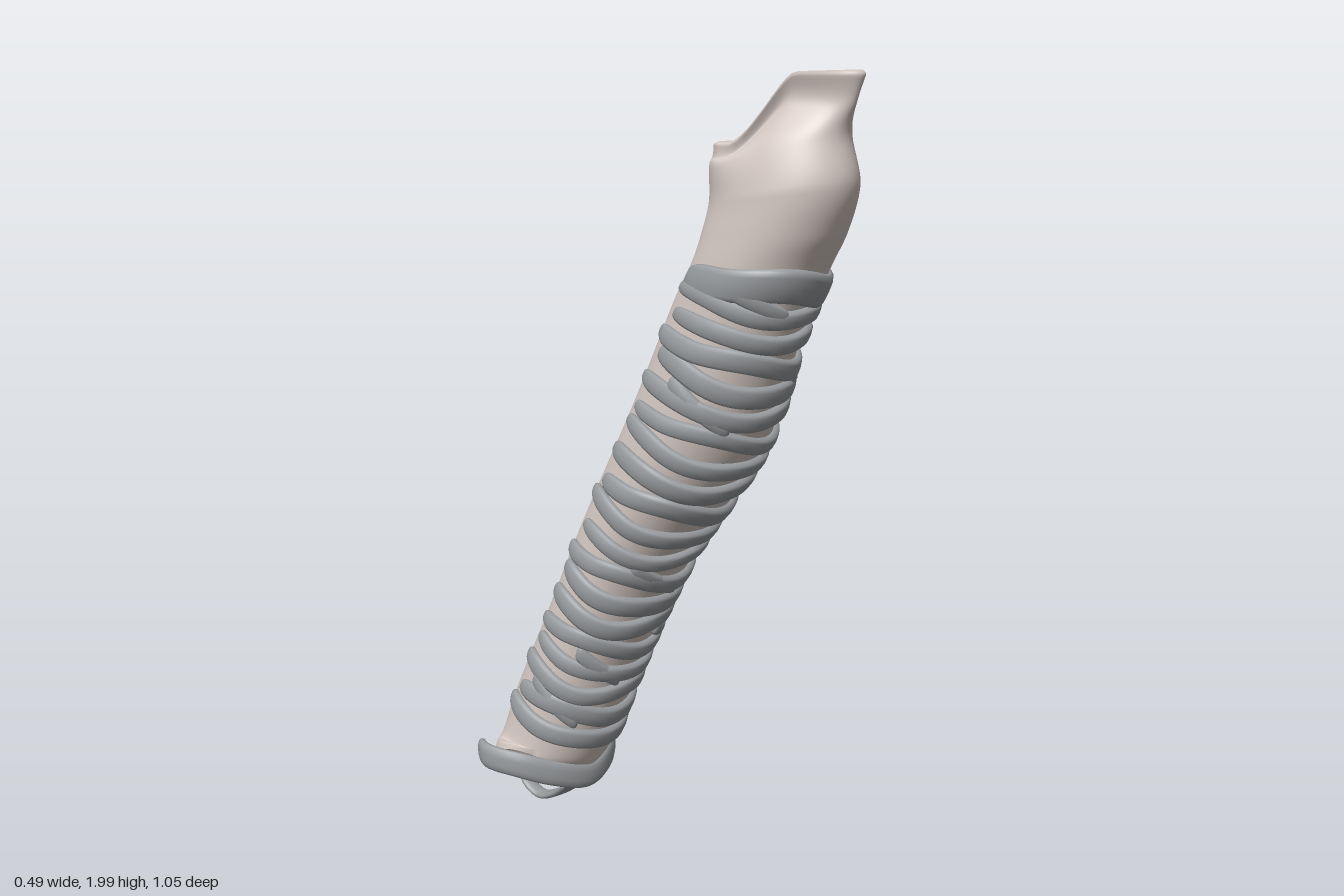
import * as THREE from 'three';

// Cross-sections from rim to lower end: front z, y, back z, y, centre x, half width, front pinch
const SECTIONS = [
  [0.53, 1.995, 0.145, 1.83, 0.038, 0.13, 0.52],
  [0.505, 1.925, 0.145, 1.8, 0.038, 0.132, 0.62],
  [0.482, 1.85, 0.14, 1.77, 0.038, 0.142, 0.22],
  [0.5, 1.74, 0.138, 1.69, 0.038, 0.14, 0],
  [0.465, 1.63, 0.12, 1.62, 0.04, 0.148, 0],
  [0.41, 1.53, 0.095, 1.55, 0.04, 0.153, 0],
  [0.335, 1.36, 0.04, 1.45, 0.035, 0.15, 0],
  [0.215, 1.07, -0.08, 1.197, 0.046, 0.175, 0],
  [0, 0.76, -0.235, 0.88, 0.03, 0.168, 0],
  [-0.13, 0.49, -0.358, 0.6, 0.005, 0.155, 0],
  [-0.24, 0.2, -0.49, 0.29, -0.02, 0.152, 0],
  [-0.29, 0.1, -0.52, 0.05, -0.03, 0.17, 0],
];
const LAST = SECTIONS.length - 1;
const spline = (f) => new THREE.CatmullRomCurve3(SECTIONS.map((s) => new THREE.Vector3(...f(s))), false, 'catmullrom', 0.5);
const frontLine = spline((s) => [0, s[1], s[0]]);
const backLine = spline((s) => [0, s[3], s[2]]);
const shapeLine = spline((s) => [s[4], s[5], s[6]]);
const smooth = THREE.MathUtils.smoothstep;

// Point on the tube wall; s runs down the sections, angle 0 is the front
function wall(s, angle, scale = 1) {
  const t = THREE.MathUtils.clamp(s / LAST, 0, 1);
  const front = frontLine.getPoint(t), back = backLine.getPoint(t), shape = shapeLine.getPoint(t);
  let c = Math.cos(angle);
  if (c < 0) c *= 1.4 - 0.4 * c * c; // flattened back
  const u = (1 + c * scale) / 2;
  const pinch = Math.max(0, shape.z);
  const lift = THREE.MathUtils.lerp(u, smooth(u, 0.2, 0.62), Math.min(1, pinch * 1.8));
  const x = shape.x + shape.y * scale * Math.sin(angle) * (1 - pinch * smooth(u, 0.1, 0.55));
  const notch = 0.14 * Math.abs(Math.sin(angle)) * smooth(s, LAST - 1, LAST);
  return new THREE.Vector3(x, THREE.MathUtils.lerp(back.y, front.y, lift) + notch, THREE.MathUtils.lerp(back.z, front.z, u));
}

// Smooth surface from rows of closed loops
function loft(rows, cols, point) {
  const pos = [], index = [];
  for (let i = 0; i <= rows; i++) {
    for (let j = 0; j < cols; j++) {
      const p = point(i / rows, (j / cols) * Math.PI * 2);
      pos.push(p.x, p.y, p.z);
      if (i === rows) continue;
      const a = i * cols + j, b = i * cols + ((j + 1) % cols);
      index.push(a, a + cols, b, b, a + cols, b + cols);
    }
  }
  const g = new THREE.BufferGeometry();
  g.setAttribute('position', new THREE.Float32BufferAttribute(pos, 3));
  g.setIndex(index);
  g.computeVertexNormals();
  return g;
}

const roundEnds = (t) => Math.sqrt(Math.max(0, 1 - Math.pow(Math.abs(2 * t - 1), 12)));
const boxy = (v) => Math.sign(v) * Math.pow(Math.abs(v), 0.7);

// Flat rounded band lying on the wall between two angles
function band(from, to, path, height, thick) {
  return loft(56, 12, (t, v) => {
    const angle = THREE.MathUtils.lerp(from, to, t), s = path(angle), d = 0.02;
    const down = wall(s + d, angle).sub(wall(s - d, angle)).normalize();
    const across = wall(s, angle + d).sub(wall(s, angle - d));
    const out = down.clone().cross(across).normalize();
    const taper = roundEnds(t);
    return wall(s, angle).addScaledVector(down, height * taper * boxy(Math.cos(v)))
      .addScaledVector(out, thick * (0.25 + boxy(Math.sin(v)) * taper));
  });
}

// Section position whose front point lies at height y
function sectionAt(y) {
  let lo = 0, hi = LAST;
  for (let i = 0; i < 30; i++) {
    const mid = (lo + hi) / 2;
    if (frontLine.getPoint(mid / LAST).y > y) lo = mid; else hi = mid;
  }
  return lo;
}

export function createModel() {
  const group = new THREE.Group();
  const skin = new THREE.MeshStandardMaterial({ color: 0xd6cac4, side: THREE.DoubleSide });
  const gristle = new THREE.MeshStandardMaterial({ color: 0x9a9da0, side: THREE.DoubleSide });
  const add = (name, geometry, material) => {
    const mesh = new THREE.Mesh(geometry, material);
    mesh.name = name;
    group.add(mesh);
  };

  // Hollow tube: inner wall up, over the rounded rim, outer wall down
  add('tubeWall', loft(220, 72, (t, a) => {
    const k = t * 2 - 1;
    return wall(Math.abs(k) * LAST, a, 1 - 0.14 * smooth(-k, -0.015, 0.015));
  }), skin);

  // Stack of open cartilage rings, slightly irregular
  const count = 20;
  for (let i = 0; i < count; i++) {
    const y = 1.495 - i * 0.0655;
    const s0 = sectionAt(y);
    const perY = (sectionAt(y - 0.03) - sectionAt(y + 0.03)) / 0.06;
    const path = (a) => s0 + perY * (0.007 * Math.sin(a * 2 + i * 2.1) + 0.006 * Math.sin(a * 3 + i * 4.3));
    const reach = 2.17 + 0.1 * Math.sin(i * 2.7);
    const reach2 = 2.17 + 0.1 * Math.sin(i * 3.9 + 1);
    const height = (i === 0 ? 0.045 : 0.026) + 0.003 * Math.sin(i * 5);
    add('cartilageRing' + (i + 1), band(-reach, reach2, path, height, 0.016), gristle);
  }

  // Slanted links where neighbouring rings merge: height, start and end angle
  [[1.46, -1.5, -0.3], [1.3, 0.8, 1.9], [1.24, 0.3, 1.5], [1.17, -1.7, -0.6], [0.72, -0.9, 0.2],
    [0.53, 0.2, 1.3], [0.46, -1.2, -0.2], [0.33, -1.8, -0.7], [0.29, 0.1, 1.2]].forEach(([y, a, b], i) => {
    const s0 = sectionAt(y + 0.03), s1 = sectionAt(y - 0.035);
    const path = (w) => THREE.MathUtils.lerp(s0, s1, (w - a) / (b - a));
    add('ringLink' + (i + 1), band(a, b, path, 0.022, 0.015), gristle);
  });

  // Flared last ring, hooked around both lower openings
  const hook = new THREE.CatmullRomCurve3([
    [-0.195, 0.2, -0.515], [-0.232, 0.195, -0.45], [-0.21, 0.185, -0.36], [-0.125, 0.15, -0.29], [-0.028, 0.125, -0.268],
    [0.075, 0.15, -0.29], [0.15, 0.185, -0.36], [0.168, 0.2, -0.43], [0.135, 0.205, -0.495],
  ].map((p) => new THREE.Vector3(...p)));
  add('lastRing', loft(64, 14, (t, v) => {
    const dir = hook.getTangent(t), taper = roundEnds(t);
    const out = new THREE.Vector3(-dir.z, 0, dir.x).normalize();
    const up = out.clone().cross(dir).normalize();
    return hook.getPoint(t).addScaledVector(up, 0.035 * taper * boxy(Math.cos(v)))
      .addScaledVector(out, 0.015 * taper * Math.sin(v));
  }), gristle);

  // Keel strip that divides the two lower openings
  const keel = new THREE.CatmullRomCurve3([
    [0.12, -0.275], [0.085, -0.315], [0.045, -0.375], [0.016, -0.45], [0.04, -0.5], [0.075, -0.52],
  ].map(([y, z]) => new THREE.Vector3(-0.027, y, z)));
  const widths = [0.1, 0.075, 0.042, 0.022, 0.022, 0.018];
  add('keel', loft(40, 12, (t, v) => {
    const p = keel.getPoint(t), dir = keel.getTangent(t);
    const f = t * (widths.length - 1), i = Math.min(Math.floor(f), widths.length - 2);
    const taper = roundEnds(t);
    p.x += THREE.MathUtils.lerp(widths[i], widths[i + 1], f - i) * taper * Math.cos(v);
    return p.addScaledVector(new THREE.Vector3(0, -dir.z, dir.y), 0.01 * taper * Math.sin(v));
  }), gristle);

  return group;
}
